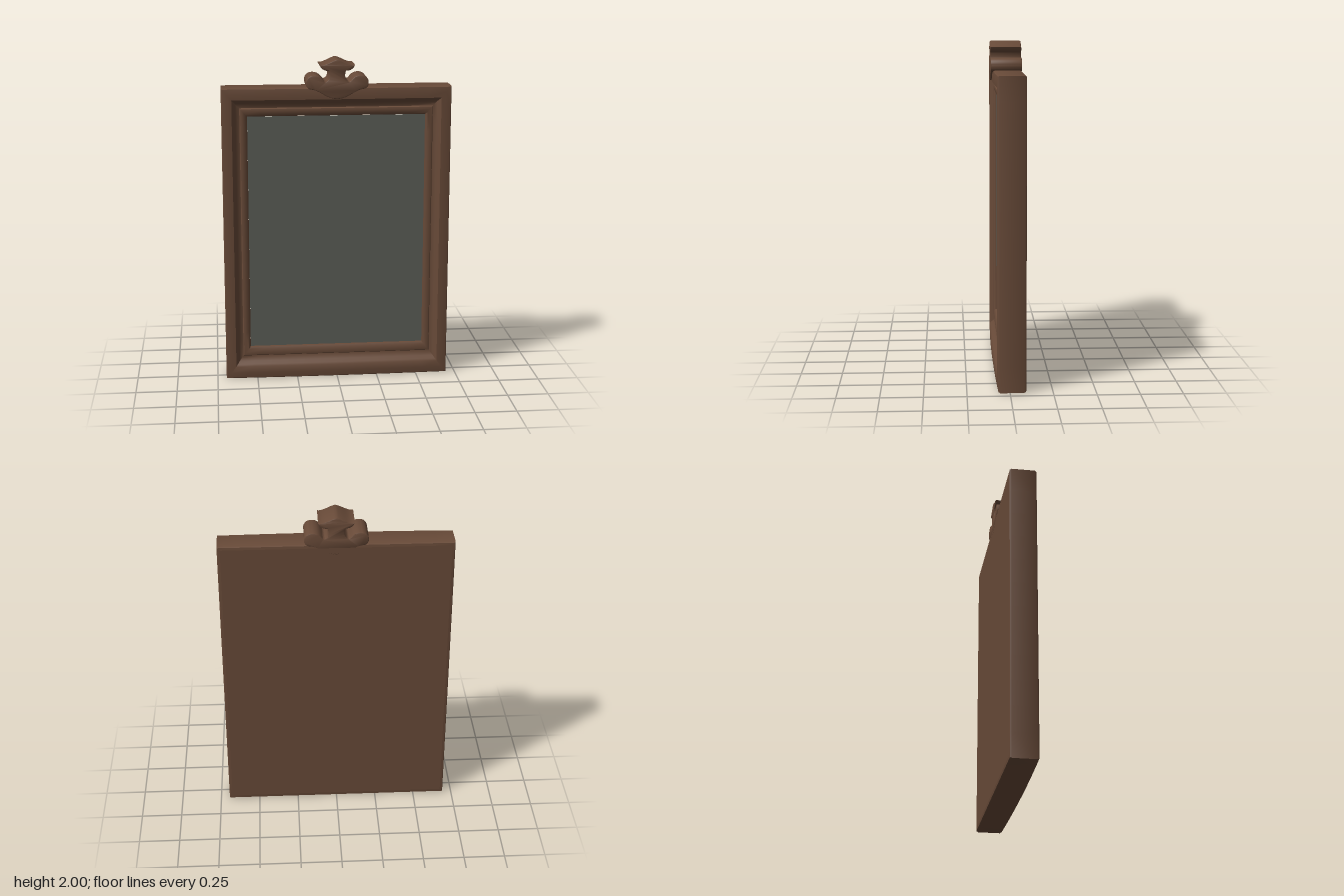
import * as THREE from 'three';
import { toCreasedNormals } from 'three/addons/utils/BufferGeometryUtils.js';

const W = 0.695, H = 1.83;                       // half width and height of the frame
const RAIL = { side: 0.155, top: 0.175, bottom: 0.2 };

// Moulding cross-section from back to front: [share of rail width, z, bow]
const PROFILE = [
  [0.12, -0.095, 0], [0.03, -0.093, 0], [0, -0.082, 0],
  [0, 0.058, 1], [0.03, 0.068, 1], [0.2, 0.073, 1], [0.4, 0.071, 1],
  [0.46, 0.062, 1], [0.54, 0.046, 0.7], [0.64, 0.037, 0.4], [0.7, 0.036, 0.3],
  [0.73, 0.046, 0.3], [0.8, 0.049, 0.2], [0.92, 0.046, 0.1], [0.98, 0.04, 0], [1, 0.026, 0],
];

// Rectangle limits at a given share of the rail width
function rect(t) {
  return { x: W - RAIL.side * t, y0: RAIL.bottom * t, y1: H - RAIL.top * t };
}

// Mitred rectangular rings joined into a moulding
function mouldingGeometry() {
  const n = 12, per = n * 4, pos = [], index = [];
  PROFILE.forEach(([t, z, bow]) => {
    const { x, y0, y1 } = rect(t);
    const c = [[-x, y0], [x, y0], [x, y1], [-x, y1]];
    for (let s = 0; s < 4; s++) {
      const a = c[s], b = c[(s + 1) % 4];
      for (let k = 0; k < n; k++) {
        const px = a[0] + (b[0] - a[0]) * k / n;
        const py = a[1] + (b[1] - a[1]) * k / n;
        pos.push(px, py, z + bow * 0.01 * (1 - (px / W) ** 2));
      }
    }
  });
  for (let i = 0; i < PROFILE.length - 1; i++) {
    for (let j = 0; j < per; j++) {
      const k = (j + 1) % per;
      const a = i * per + j, b = i * per + k, c = b + per, d = a + per;
      index.push(a, b, c, a, c, d);
    }
  }
  const g = new THREE.BufferGeometry();
  g.setAttribute('position', new THREE.Float32BufferAttribute(pos, 3));
  g.setIndex(index);
  return toCreasedNormals(g, 0.6);
}

// Flat panel filling one ring of the moulding
function panel(name, t, z, material, back) {
  const { x, y0, y1 } = rect(t);
  const m = new THREE.Mesh(new THREE.PlaneGeometry(2 * x, y1 - y0), material);
  m.position.set(0, (y0 + y1) / 2, z);
  if (back) m.rotation.y = Math.PI;
  m.name = name;
  return m;
}

// Symmetric crest: fan on a narrow stem with two scrolls and a leaf-shaped foot
function crestGeometry() {
  const s = new THREE.Shape();
  const side = (k) => [
    // fan tip and underside
    [0.045, 1.988, 0.07, 1.962, 0.106, 1.966],
    [0.098, 1.945, 0.08, 1.93, 0.052, 1.932],
    // stem and hollow above the scroll
    [0.04, 1.905, 0.048, 1.872, 0.07, 1.866],
    [0.085, 1.863, 0.09, 1.905, 0.14, 1.905],
    // scroll
    [0.17, 1.905, 0.188, 1.885, 0.188, 1.86],
    [0.188, 1.84, 0.18, 1.825, 0.16, 1.822],
    // foot
    [0.1, 1.815, 0.07, 1.765, 0, 1.762],
  ].map((c) => c.map((v, i) => (i % 2 ? v : v * k)));
  s.moveTo(0, 2);
  // left half going down, then right half back up
  side(-1).forEach((c) => s.bezierCurveTo(...c));
  const right = side(1);
  for (let i = right.length - 1; i >= 0; i--) {
    const c = right[i];
    const end = i ? right[i - 1].slice(4) : [0, 2];
    s.bezierCurveTo(c[2], c[3], c[0], c[1], ...end);
  }
  const g = new THREE.ExtrudeGeometry(s, {
    depth: 0.173, curveSegments: 10, bevelEnabled: true,
    bevelThickness: 0.007, bevelSize: 0.005, bevelOffset: -0.005, bevelSegments: 2,
  });
  g.translate(0, 0, -0.088);
  return toCreasedNormals(g, 0.7);
}

export function createModel() {
  const wood = new THREE.MeshStandardMaterial({ color: 0x684a38 });
  wood.name = 'brown wood';
  const glass = new THREE.MeshStandardMaterial({ color: 0x5b5d57 });
  glass.name = 'grey mirror glass';

  const model = new THREE.Group();
  model.name = 'wallMirror';

  const frame = new THREE.Mesh(mouldingGeometry(), wood);
  frame.name = 'frameMoulding';
  const crest = new THREE.Mesh(crestGeometry(), wood);
  crest.name = 'crest';

  model.add(
    frame,
    crest,
    panel('mirrorGlass', 1, 0.03, glass, false),
    panel('backPanel', 0.12, -0.095, wood, true),
  );
  return model;
}
